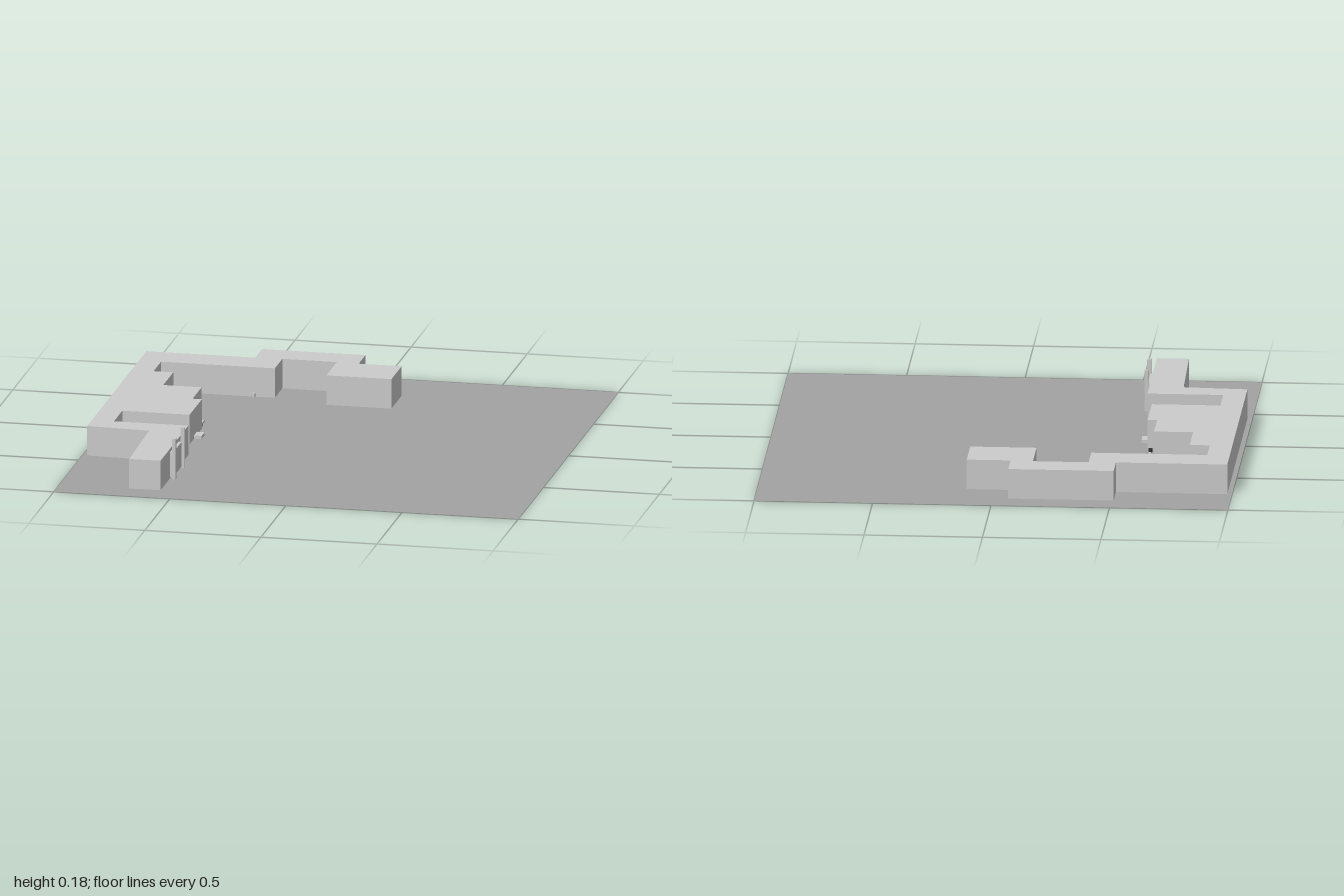
import * as THREE from 'three';

const grey = new THREE.MeshStandardMaterial({ color: 0xcccccc });
const paint = (color, side = THREE.FrontSide) => new THREE.MeshStandardMaterial({ color, side });

// Box given by its extents: x0..x1, y0..y1, z0..z1
function block(name, [x0, x1], [y0, y1], [z0, z1], material = grey) {
  const mesh = new THREE.Mesh(new THREE.BoxGeometry(x1 - x0, y1 - y0, z1 - z0), material);
  mesh.position.set((x0 + x1) / 2, (y0 + y1) / 2, (z0 + z1) / 2);
  mesh.name = name;
  return mesh;
}

export function createModel() {
  const model = new THREE.Group();
  model.name = 'buildingSite';

  // Ground sheet, a hair above the underside of the building
  const ground = new THREE.Mesh(new THREE.PlaneGeometry(2, 2), paint(0xa2a2a2, THREE.DoubleSide));
  ground.rotation.x = -Math.PI / 2;
  ground.position.y = 0.001;
  ground.name = 'ground';
  model.add(ground);

  // Building: one floor plan (x, z) raised to roof height
  const plan = [
    [-0.98, -0.755], [-0.51, -0.755], [-0.51, -0.89], [-0.065, -0.89], [-0.065, -0.755],
    [0.12, -0.755], [0.12, -0.55], [-0.16, -0.55], [-0.16, -0.76], [-0.395, -0.76],
    [-0.395, -0.61], [-0.885, -0.61], [-0.885, -0.46], [-0.8, -0.46], [-0.8, -0.26],
    [-0.635, -0.26], [-0.635, -0.08], [-0.595, -0.08], [-0.595, 0.165], [-0.885, 0.165],
    [-0.885, 0.33], [-0.565, 0.33], [-0.565, 0.885], [-0.7, 0.885], [-0.71, 0.44], [-0.98, 0.425],
  ];
  const shape = new THREE.Shape(plan.map(([x, z]) => new THREE.Vector2(x, -z)));
  const walls = new THREE.ExtrudeGeometry(shape, { depth: 0.13, bevelEnabled: false });
  walls.rotateX(-Math.PI / 2);
  const building = new THREE.Mesh(walls, grey);
  building.name = 'building';
  model.add(building);

  // Gateway: two tall posts with a panel between them
  for (const z of [0.525, 0.7]) {
    model.add(block('gatePost', [-0.554, -0.538], [0, 0.178], [z - 0.008, z + 0.008]));
  }
  model.add(block('gatePanel', [-0.566, -0.551], [0.007, 0.115], [0.525, 0.7]));

  // Small objects along the walls
  model.add(block('doorstep', [-0.596, -0.562], [0, 0.015], [0.018, 0.077]));
  model.add(block('bench', [-0.615, -0.606], [0, 0.01], [-0.19, -0.155]));
  model.add(block('wallBox', [-0.49, -0.479], [0, 0.018], [-0.611, -0.597]));
  model.add(block('greenBin', [-0.772, -0.759], [0, 0.015], [-0.391, -0.378], paint(0x3c9a50)));

  const barrel = new THREE.Mesh(new THREE.CylinderGeometry(0.009, 0.009, 0.016, 12), paint(0x333333));
  barrel.position.set(-0.61, 0.008, -0.118);
  barrel.name = 'barrel';
  model.add(barrel);

  return model;
}
